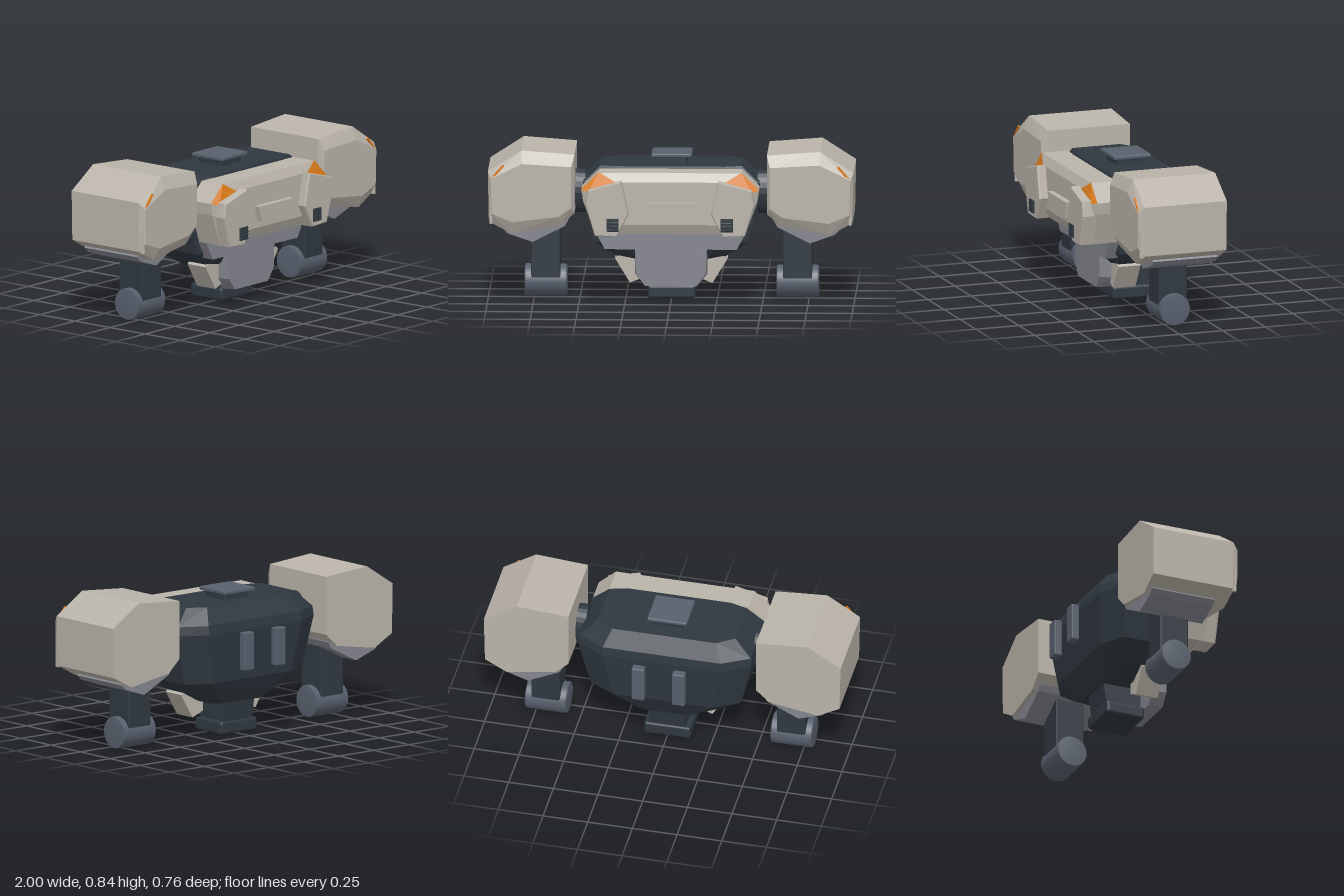
import * as THREE from 'three';
import { ConvexGeometry } from 'three/addons/geometries/ConvexGeometry.js';
import { RoundedBoxGeometry } from 'three/addons/geometries/RoundedBoxGeometry.js';

const material = (name, color, flatShading = true) => {
  const m = new THREE.MeshStandardMaterial({ color, flatShading });
  m.name = name;
  return m;
};

export function createModel() {
  const model = new THREE.Group();
  model.name = 'walkerMachine';
  const light = material('warm grey armour', 0xbab4aa);
  const grey = material('cool grey armour', 0x85868f);
  const slate = material('slate metal', 0x58606d, false);
  const dark = material('dark frame', 0x2f3840);
  const orange = material('orange marking', 0xdd7d1c);

  const add = (name, geometry, mat, parent = model) => {
    const mesh = new THREE.Mesh(geometry, mat);
    mesh.name = name;
    parent.add(mesh);
    return mesh;
  };
  // Block given by its limits on each axis
  const box = (name, x0, x1, y0, y1, z0, z1, mat, parent, r = 0.006) => {
    const mesh = add(name, new RoundedBoxGeometry(x1 - x0, y1 - y0, z1 - z0, 2, r), mat, parent);
    mesh.position.set((x0 + x1) / 2, (y0 + y1) / 2, (z0 + z1) / 2);
    return mesh;
  };
  const convex = (pts) => new ConvexGeometry(pts.map((p) => new THREE.Vector3(...p)));
  const atZ = (poly, z) => poly.map(([x, y]) => [x, y, z]);
  const mirrored = (poly) => [...poly, ...poly.map(([x, y]) => [-x, y])];
  const prism = (poly, z0, z1) => convex([...atZ(poly, z0), ...atZ(poly, z1)]);

  // Faceted hull: y, half width, corner half width, back z, front z
  const hullRings = [
    [0.19, 0.19, 0.13, -0.185, 0.06],
    [0.25, 0.3, 0.2, -0.22, 0.12],
    [0.33, 0.42, 0.28, -0.265, 0.165],
    [0.61, 0.485, 0.33, -0.298, 0.165],
    [0.66, 0.48, 0.33, -0.29, 0.165],
    [0.75, 0.385, 0.29, -0.23, 0.14],
  ];
  const hullPoints = [];
  for (const [y, w, c, zb, zf] of hullRings) {
    for (const s of [-1, 1]) {
      hullPoints.push([s * c, y, zb], [s * w, y, zb * 0.72], [s * w, y, zf * 0.8], [s * c, y, zf]);
    }
  }
  add('hull', convex(hullPoints), dark);

  // Chest armour with a bevelled front
  const chestRim = mirrored([[0.388, 0.738], [0.485, 0.645], [0.475, 0.58], [0.41, 0.4]]);
  const chestFace = mirrored([[0.3, 0.69], [0.447, 0.635], [0.44, 0.57], [0.385, 0.455]]);
  add('chestArmour', convex([...atZ(chestRim, 0.14), ...atZ(chestRim, 0.287), ...atZ(chestFace, 0.312)]), light);
  add('chestHatch', prism(mirrored([[0.145, 0.58], [0.12, 0.49]]), 0.3, 0.345), light);
  add('waistArmour', prism(mirrored([[0.415, 0.402], [0.36, 0.3]]), 0.12, 0.195), grey);

  // Front skirt and lower neck
  add('frontSkirt', convex([
    ...atZ(mirrored([[0.2, 0.295], [0.2, 0.15], [0.145, 0.088]]), 0.08),
    ...atZ(mirrored([[0.195, 0.295], [0.19, 0.16], [0.14, 0.092]]), 0.168),
  ]), grey);
  add('lowerNeck', convex([
    ...[-0.1, 0.1].flatMap((x) => [[x, 0.22, 0.06], [x, 0.22, -0.17], [x, 0.07, 0.05], [x, 0.07, -0.15]]),
  ]), dark);
  box('lowerBlock', -0.13, 0.13, 0.008, 0.08, -0.16, 0.065, dark, model, 0.014);

  // Roof hatch
  box('roofMount', -0.085, 0.085, 0.735, 0.79, -0.14, 0.025, dark);
  box('roofPlate', -0.11, 0.11, 0.784, 0.805, -0.165, 0.05, slate);

  const podOutline = [
    [0.525, 0.823], [0.815, 0.845], [0.998, 0.727], [0.992, 0.452],
    [0.87, 0.385], [0.6, 0.43], [0.525, 0.5],
  ];
  const podFace = podOutline.map(([x, y]) => [0.76 + (x - 0.76) * 0.93, 0.61 + (y - 0.61) * 0.7]);
  const padOutline = [[0.265, 0.7], [0.447, 0.65], [0.46, 0.57], [0.41, 0.4], [0.29, 0.395], [0.225, 0.52]];
  const padFace = padOutline.map(([x, y]) => [0.345 + (x - 0.345) * 0.96, 0.545 + (y - 0.545) * 0.97]);

  for (const s of [1, -1]) {
    const side = new THREE.Group();
    side.name = s > 0 ? 'leftSide' : 'rightSide';
    side.scale.x = s;
    model.add(side);

    // Shoulder pod, its lower plate and markings
    add('shoulderPod', convex([
      ...atZ(podOutline, -0.275), ...atZ(podOutline, 0.203), ...atZ(podFace, 0.235),
    ]), light, side);
    add('podLowerPlate', prism(
      [[0.56, 0.45], [0.91, 0.412], [0.92, 0.4], [0.89, 0.372], [0.757, 0.326], [0.58, 0.415]], -0.25, 0.125,
    ), grey, side);
    const stripe = add('podMarking', new THREE.BoxGeometry(0.1, 0.012, 0.009), orange, side);
    stripe.position.set(0.945, 0.728, 0.228);
    stripe.rotation.z = -0.85;
    box('podEdgeTrim', 0.972, 0.988, 0.44, 0.685, 0.2, 0.226, light, side, 0.004);

    // Shoulder joint
    const joint = add('shoulderJoint', new THREE.CylinderGeometry(0.12, 0.12, 0.08, 24), dark, side);
    joint.rotation.z = Math.PI / 2;
    joint.scale.z = 0.72;
    joint.position.set(0.51, 0.59, -0.015);
    const axle = add('shoulderAxle', new THREE.CylinderGeometry(0.065, 0.065, 0.16, 20), slate, side);
    axle.rotation.z = Math.PI / 2;
    axle.position.set(0.5, 0.57, -0.015);

    // Leg column and roller foot
    box('leg', 0.607, 0.767, 0.1, 0.46, -0.13, 0.036, dark, side);
    const profile = [[0, -0.116], [0.082, -0.116], [0.088, -0.108], [0.088, 0.108], [0.082, 0.116], [0, 0.116]];
    const foot = add('rollerFoot', new THREE.LatheGeometry(
      profile.map(([x, y]) => new THREE.Vector2(x, y)), 32), slate, side);
    foot.rotation.z = Math.PI / 2;
    foot.position.set(0.687, 0.091, -0.048);

    // Chest pad with a slatted vent
    add('chestPad', convex([...atZ(padOutline, 0.28), ...atZ(padOutline, 0.352), ...atZ(padFace, 0.362)]), light, side);
    box('ventBack', 0.278, 0.345, 0.427, 0.5, 0.372, 0.378, dark, side, 0.002);
    for (let i = 0; i < 4; i++) {
      const y = 0.431 + i * 0.0185;
      box('ventSlat', 0.28, 0.343, y, y + 0.011, 0.376, 0.382, dark, side, 0.002);
    }

    // Orange corner facet on the chest bevel
    const facet = new THREE.BufferGeometry();
    facet.setAttribute('position', new THREE.Float32BufferAttribute([
      0.388, 0.742, 0.289, 0.3, 0.69, 0.315, 0.447, 0.635, 0.315, 0.488, 0.645, 0.289,
    ], 3));
    facet.setIndex([0, 1, 2, 0, 2, 3]);
    facet.computeVertexNormals();
    add('chestMarking', facet, orange, side);

    // Hip guard and back fin
    add('hipGuard', prism([[0.23, 0.295], [0.307, 0.235], [0.225, 0.1], [0.15, 0.13], [0.15, 0.25]], -0.03, 0.1), light, side);
    box('backFin', 0.078, 0.148, 0.4, 0.61, -0.38, -0.335, slate, side);
  }
  return model;
}
